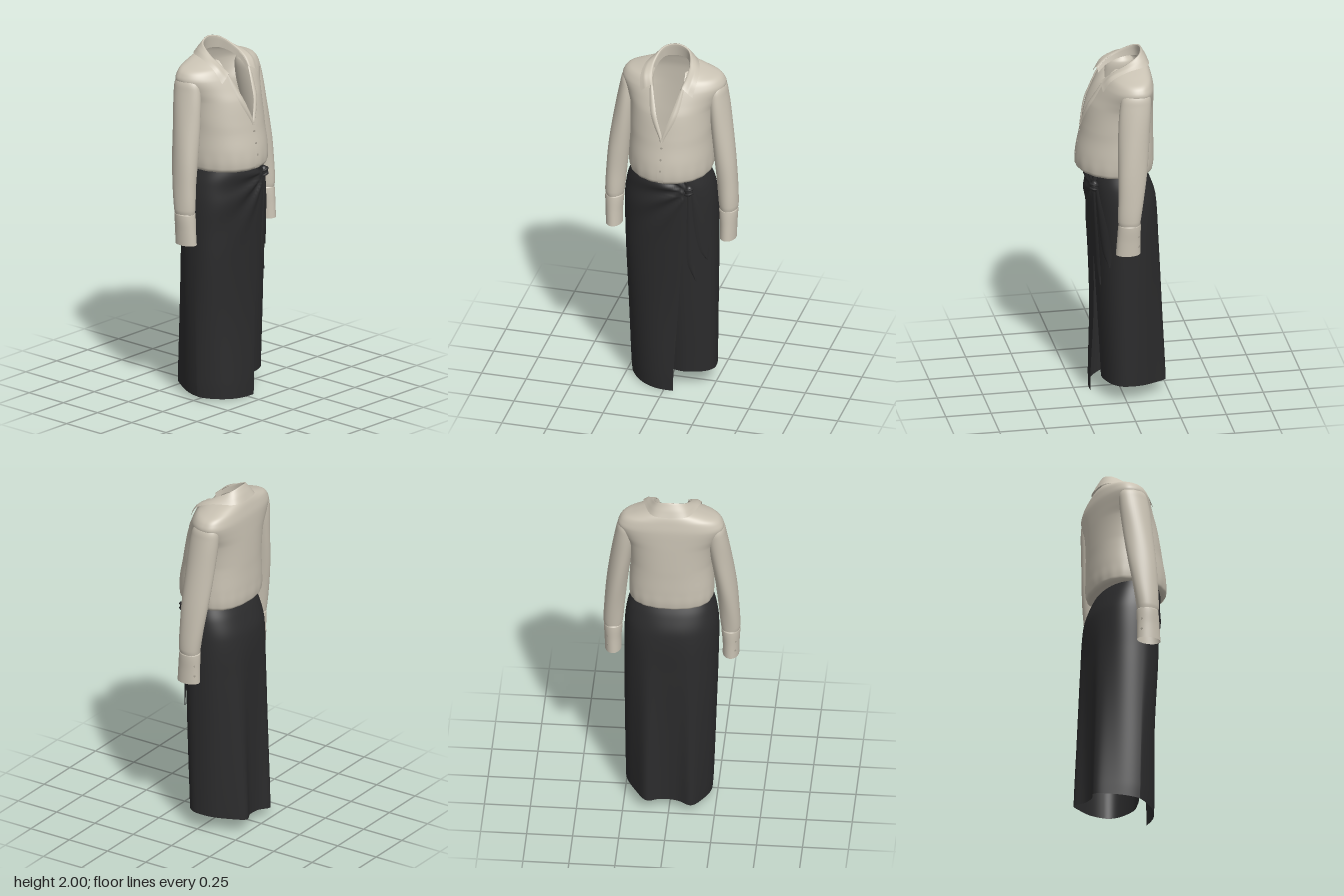
import * as THREE from 'three';

const cloth = (name, color) => {
  const m = new THREE.MeshStandardMaterial({ color, side: THREE.DoubleSide });
  m.name = name;
  return m;
};

// Smooth lookup in a table of rows [key, ...values], keys ascending
function at(table, k) {
  const n = table.length;
  let i = 0;
  while (i < n - 2 && k > table[i + 1][0]) i++;
  const a = table[i], b = table[i + 1], p = table[Math.max(i - 1, 0)], q = table[Math.min(i + 2, n - 1)];
  const h = b[0] - a[0], t = THREE.MathUtils.clamp((k - a[0]) / h, 0, 1), t2 = t * t, t3 = t2 * t;
  return a.map((_, c) => {
    const ma = (b[c] - p[c]) / (b[0] - p[0]) * h, mb = (q[c] - a[c]) / (q[0] - a[0]) * h;
    return (2 * t3 - 3 * t2 + 1) * a[c] + (t3 - 2 * t2 + t) * ma + (3 * t2 - 2 * t3) * b[c] + (t3 - t2) * mb;
  });
}

// Key value at fraction v, with rows spread evenly over the table's entries
function keyAt(table, v) {
  const f = v * (table.length - 1), i = Math.min(Math.floor(f), table.length - 2);
  return THREE.MathUtils.lerp(table[i][0], table[i + 1][0], f - i);
}

// Surface from a rule fn(u, v) -> [x, y, z]; wrap joins u = 1 to u = 0
function grid(nu, nv, fn, wrap = false) {
  const pos = [], idx = [], cols = wrap ? nu : nu + 1;
  for (let j = 0; j <= nv; j++) for (let i = 0; i < cols; i++) pos.push(...fn(i / nu, j / nv));
  for (let j = 0; j < nv; j++) for (let i = 0; i < nu; i++) {
    const a = j * cols + i, b = j * cols + (i + 1) % cols, c = a + cols, d = b + cols;
    idx.push(a, b, d, a, d, c);
  }
  const g = new THREE.BufferGeometry();
  g.setAttribute('position', new THREE.Float32BufferAttribute(pos, 3));
  g.setIndex(idx);
  g.computeVertexNormals();
  return g;
}

const spow = (v, e) => Math.sign(v) * Math.abs(v) ** e;
const { lerp, smoothstep } = THREE.MathUtils;

// Blouse rows: y, half width, front z, back z, half neck opening, z of widest point
const BODY = [
  [1.31, .19, .19, -.125, 0, 0], [1.316, .215, .222, -.165, 0, 0], [1.34, .228, .238, -.18, 0, 0],
  [1.42, .23, .235, -.183, 0, 0], [1.52, .225, .215, -.182, 0, 0], [1.58, .225, .204, -.182, 0, 0],
  [1.7, .235, .178, -.18, .04, -.03], [1.76, .26, .15, -.178, .058, -.05], [1.82, .287, .119, -.175, .075, -.06],
  [1.85, .28, .102, -.171, .084, -.06], [1.875, .255, .088, -.164, .088, -.06], [1.893, .2, .08, -.157, .088, -.055],
  [1.908, .15, .075, -.148, .088, -.045], [1.92, .11, .07, -.137, .085, -.035],
];
const bodyZ = (x, y) => {
  const [, w, zf, , , zc] = at(BODY, y);
  return zc + (zf - zc) * Math.sqrt(1 - Math.min(1, Math.abs(x) / w) ** 2);
};
function bodyPoint(u, v) {
  const y = keyAt(BODY, v), [, w, zf, zb, gap, zc] = at(BODY, y);
  const t0 = Math.asin(Math.max(0, gap) / w);
  const t = lerp(t0, 2 * Math.PI - t0, u), c = Math.cos(t);
  const gather = 1 + .007 * Math.sin(18 * t) * (1 - smoothstep(y, 1.32, 1.45));
  const z = (zc + (c > 0 ? (zf - zc) * c : (zc - zb) * spow(c, .72))) * gather;
  return [w * spow(Math.sin(t), c > 0 ? 1 : .9) * gather, y - z * .12 * smoothstep(y, 1.85, 1.92), z];
}

// Sleeve rows: y, centre x, centre z, radius x, radius z
const SLEEVE = [
  [1.08, .32, 0, .046, .056], [1.12, .32, 0, .053, .062], [1.25, .312, -.01, .056, .07],
  [1.4, .297, -.02, .058, .08], [1.6, .27, -.035, .058, .086], [1.77, .245, -.05, .056, .084],
  [1.825, .238, -.055, .048, .07], [1.855, .23, -.06, .02, .03],
];
const CUFF = [
  [.92, .32, .008, .045, .067], [1.0, .321, .005, .046, .064], [1.09, .32, 0, .051, .061], [1.1, .32, 0, .045, .055],
];
const tube = (table, side, fold) => grid(40, 48, (u, v) => {
  const y = keyAt(table, v), [, cx, cz, rx, rz] = at(table, y), a = u * 2 * Math.PI;
  const k = 1 + fold * Math.sin(3 * a + 9 * y);
  return [side * (cx + rx * k * Math.cos(a)), y, cz + rz * k * Math.sin(a)];
}, true);

// Skirt rows: y, half width, outer front z, under-panel front z, back z, back fold depth, wrap edge x, centre x
const SKIRT = [
  [0, .232, .167, .12, -.2, .055, .04, .012], [.1, .238, .167, .12, -.2, .052, .043, .011],
  [.5, .248, .157, .138, -.2, .032, .07, .007], [.9, .256, .168, .153, -.2, .012, .102, .003],
  [1.14, .255, .182, .165, -.195, 0, .128, 0], [1.25, .24, .187, .172, -.16, 0, .14, 0],
  [1.33, .212, .185, .175, -.12, 0, .14, 0],
];
const HEM = [[-1, 0], [0, .002], [1.57, .02], [3.14, .06], [4.71, .095], [8, .1]];
const KNOT = [.14, 1.255];
const SKIRT_E = .88;
function skirtPoint(u, v) {
  // Angle runs from the wrap edge over the right side and back to the inner edge
  const rough = lerp(-.3, 2 * Math.PI + .4, u), hem = at(HEM, rough)[1], y = lerp(hem, 1.33, v);
  const [, w, zo, zu, zb, lobe, edge, cx] = at(SKIRT, y);
  const a = lerp(-Math.asin((edge / w) ** (1 / SKIRT_E)), 2 * Math.PI + .4, u);
  const c = Math.cos(a), x = cx - w * spow(Math.sin(a), SKIRT_E), outer = a < Math.PI;
  if (c < 0) {
    const ripple = lobe * Math.exp(-(((Math.abs(x) - .125) / .056) ** 2));
    return [x, y, -(-zb * spow(-c, SKIRT_E) + ripple)];
  }
  if (outer) {
    // Flap flattens toward the hem; pleats fan out from the knot
    const flat = a > 0 ? lerp(1.6, SKIRT_E, smoothstep(y, 0, .9)) : SKIRT_E;
    const dx = KNOT[0] - x, dy = y - KNOT[1], th = Math.atan2(dy, dx), r = Math.hypot(dx, dy);
    const pleat = Math.sin(th * 11) * Math.exp(-((r / .3) ** 2)) * smoothstep(r, 0, .06) * smoothstep(th, -1.35, -1);
    return [x, y, zo * c ** flat + .01 * pleat];
  }
  return [x, y, zu * c ** SKIRT_E - .05 * smoothstep(a, 5.9, 6.7) * (1 - v)];
}
const panelZ = (x, y) => {
  const [, w, , zu] = at(SKIRT, y);
  return zu * Math.sqrt(1 - Math.min(1, Math.abs(x) / w) ** (2 / SKIRT_E)) ** SKIRT_E;
};

// Tie tail rows: y, centre x, half width
const TAILS = [
  [[.68, .172, .001], [.8, .15, .022], [1.0, .145, .018], [1.24, .142, .01]],
  [[.8, .225, .001], [.88, .21, .024], [1.05, .188, .028], [1.25, .155, .01]],
];

export function createModel() {
  const group = new THREE.Group();
  const cream = cloth('cream fabric', 0xc9c2b3), dark = cloth('charcoal fabric', 0x2b2b2c);
  const buttonMat = cloth('button grey', 0xa59f92);
  const add = (name, geo, mat) => {
    const m = new THREE.Mesh(geo, mat);
    m.name = name;
    group.add(m);
    return m;
  };
  const button = (name, x, y, z, dir) => {
    const m = add(name, new THREE.CylinderGeometry(.006, .006, .004, 14), buttonMat);
    m.position.set(x, y, z);
    m.quaternion.setFromUnitVectors(new THREE.Vector3(0, 1, 0), new THREE.Vector3(...dir).normalize());
  };

  // Blouse body, front placket and buttons
  add('blouseBody', grid(96, 84, bodyPoint), cream);
  add('placket', grid(6, 20, (u, v) => {
    const x = lerp(-.016, .016, u), y = lerp(1.325, 1.585, v);
    return [x, y, bodyZ(x, y) + .003];
  }), cream);
  for (const y of [1.4, 1.465, 1.53]) button('frontButton', 0, y, bodyZ(0, y) + .004, [0, .15, 1]);

  for (const s of [1, -1]) {
    // Turned-back lapel along the neckline
    add('lapel', grid(6, 24, (u, v) => {
      const y = lerp(1.565, 1.865, v), gap = Math.max(0, at(BODY, y)[4]);
      const x = gap - .004 + u * (.006 + .028 * Math.sin(Math.PI * Math.min(v * .85 + .08, 1)));
      return [s * x, y, bodyZ(x, y) + .005 + .006 * Math.sin(Math.PI * u)];
    }), cream);
    // Sleeve, cuff and cuff buttons
    add('sleeve', tube(SLEEVE, s, .03), cream);
    add('cuff', tube(CUFF, s, 0), cream);
    for (const y of [.97, 1.03]) button('cuffButton', s * .347, y, -.047, [s * .55, 0, -.8]);
  }

  // Collar: inner stand, rounded fold and outer edge, mirrored about the middle
  const rail = pts => new THREE.CatmullRomCurve3([
    ...pts.slice(1).reverse().map(([x, y, z]) => new THREE.Vector3(-x, y, z)),
    ...pts.map(p => new THREE.Vector3(...p))]);
  const rails = [
    [[0, 1.925, -.125], [.062, 1.922, -.104], [.088, 1.905, -.03], [.088, 1.87, .05], [.072, 1.83, .1]],
    [[0, 1.996, -.115], [.066, 1.98, -.094], [.096, 1.94, -.02], [.095, 1.898, .055], [.08, 1.856, .102]],
    [[0, 2.0, -.122], [.072, 1.984, -.1], [.105, 1.943, -.02], [.104, 1.9, .06], [.086, 1.857, .11]],
    [[0, 1.962, -.143], [.086, 1.955, -.121], [.13, 1.932, -.02], [.135, 1.893, .07], [.118, 1.836, .117]],
    [[0, 1.925, -.159], [.095, 1.925, -.141], [.15, 1.919, -.02], [.158, 1.878, .068], [.146, 1.81, .114]],
  ].map(rail);
  add('collar', grid(64, 16, (u, v) => {
    const f = v * 4, i = Math.min(Math.floor(f), 3);
    return rails[i].getPoint(u).lerp(rails[i + 1].getPoint(u), f - i).toArray();
  }), cream);

  // Wrap skirt in one overlapping sheet
  add('wrapSkirt', grid(160, 90, skirtPoint), dark);

  // Side knot and its two hanging tails
  const kz = panelZ(...KNOT);
  const knot = add('knot', new THREE.SphereGeometry(.026, 20, 14), dark);
  knot.scale.set(.9, 1.2, .8);
  knot.position.set(...KNOT, kz + .012);
  for (const dy of [-.018, .008]) {
    const loop = add('knotFold', new THREE.TorusGeometry(.02, .007, 8, 20), dark);
    loop.rotation.set(1.3, .3, 0);
    loop.position.set(KNOT[0], KNOT[1] + dy, kz + .014);
  }
  TAILS.forEach((rows, i) => add('tieTail', grid(8, 30, (u, v) => {
    const y = lerp(rows[0][0], rows[3][0], v), [, cx, hw] = at(rows, y), x = cx + (2 * u - 1) * hw;
    return [x, y, panelZ(x, y) + .016 - i * .007 + .005 * Math.sin(Math.PI * u)];
  }), dark));

  return group;
}
